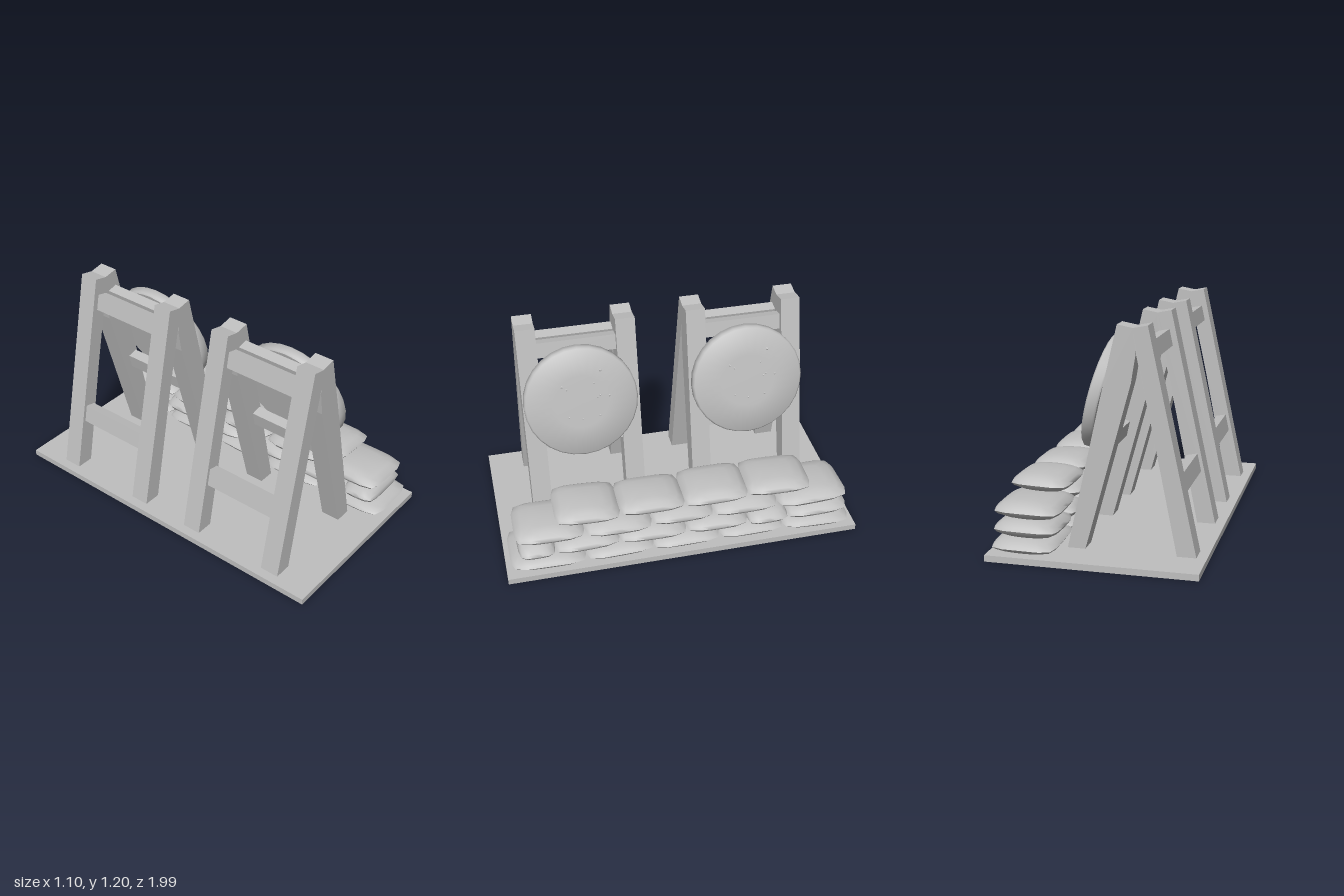
import * as THREE from 'three';
import { toCreasedNormals } from 'three/addons/utils/BufferGeometryUtils.js';

const grey = new THREE.MeshStandardMaterial({ color: 0xbfbfbf });
grey.name = 'plain grey';

const pts = (list) => list.map(([x, y]) => new THREE.Vector2(x, y));

function add(parent, geometry, name, x = 0, y = 0, z = 0) {
  const mesh = new THREE.Mesh(geometry, grey);
  mesh.name = name;
  mesh.position.set(x, y, z);
  parent.add(mesh);
  return mesh;
}

// Small repeatable variation in -1..1
let seed = 7;
const vary = () => {
  seed = (seed * 16807) % 2147483647;
  return (seed / 2147483647) * 2 - 1;
};

// Leg side outlines, extruded across z
const LEG_WIDTH = 0.108;
const legGeometry = (outline) =>
  new THREE.ExtrudeGeometry(new THREE.Shape(pts(outline)), { depth: LEG_WIDTH, bevelEnabled: false })
    .translate(0, 0, -LEG_WIDTH / 2);

const backLeg = legGeometry([[-0.5, 0.02], [-0.4, 0.02], [-0.27, 0.67], [-0.168, 1.14], [-0.17, 1.185], [-0.245, 1.2]]);
const frontLeg = legGeometry([[0.085, 0.02], [0.178, 0.02], [-0.01, 0.86], [-0.09, 1.2], [-0.172, 1.185], [-0.183, 1.05], [-0.16, 0.91]]);

// Thick straw disc with a slightly softened rim
const discGeometry = toCreasedNormals(new THREE.LatheGeometry(
  pts([[0, -0.031], [0.306, -0.031], [0.313, -0.022], [0.313, 0.022], [0.304, 0.031], [0.15, 0.035], [0, 0.036]]), 28), 0.9);

// Tiny torn straw marks: offsets along the face (up, sideways)
const marks = [[0.1, 0.1], [0.08, 0.075], [0.17, -0.115], [0.1, -0.075], [0.03, -0.105],
  [0.02, -0.155], [0.02, -0.09], [-0.08, 0.075], [-0.1, 0], [-0.09, -0.095]];

// Sandbag: a lathe pillow whose round outline is pushed towards a rectangle
function bagGeometry(width, height, length) {
  const g = new THREE.LatheGeometry(
    pts([[0, -0.5], [0.5, -0.48], [0.78, -0.38], [0.93, -0.2], [1, 0], [0.94, 0.17], [0.78, 0.38], [0.5, 0.48], [0, 0.5]]), 24);
  const p = g.attributes.position;
  for (let i = 0; i < p.count; i++) {
    const x = p.getX(i), z = p.getZ(i), r = Math.hypot(x, z);
    if (r < 1e-6) continue;
    const c = Math.abs(x / r), s = Math.abs(z / r), n = 7;
    const k = Math.pow(c ** n + s ** n, -1 / n);
    // Corners pinch in height
    const pinch = 1 - 0.25 * r * r * (k - 1) / 0.28;
    p.setXYZ(i, x * k, p.getY(i) * pinch, z * k);
  }
  g.scale(width / 2, height, length / 2);
  return toCreasedNormals(g, 1.1);
}

function makeStand(centerZ, discZ, name) {
  const stand = new THREE.Group();
  stand.name = name;
  // Two A-shaped ends
  for (const side of [-1, 1]) {
    const z = centerZ + side * 0.27;
    add(stand, backLeg, 'backLeg', 0, 0, z);
    add(stand, frontLeg, 'frontLeg', 0, 0, z);
  }
  // Rails: x, y, height, tilt following the legs
  const rails = [
    ['upperBackRail', -0.215, 1.05, 0.09, -0.21],
    ['upperFrontRail', -0.115, 1.055, 0.085, 0.225],
    ['lowerBackRail', -0.375, 0.372, 0.1, -0.21],
    ['lowerFrontRail', 0.02, 0.55, 0.085, 0.225],
  ];
  for (const [railName, x, y, height, tilt] of rails) {
    const rail = add(stand, new THREE.BoxGeometry(0.06, height, 0.48), railName, x, y, centerZ);
    rail.rotation.z = tilt;
  }
  // Tilted target
  const target = new THREE.Group();
  target.name = 'target';
  target.position.set(0.047, 0.8, discZ);
  target.rotation.z = -1.323;
  add(target, discGeometry, 'strawDisc');
  for (const [up, across] of marks) {
    const mark = add(target, new THREE.ConeGeometry(0.011, 0.008, 4), 'strawMark', -up, 0.036, across);
    mark.rotation.y = vary();
  }
  stand.add(target);
  return stand;
}

export function createModel() {
  const model = new THREE.Group();
  model.name = 'targetRange';
  seed = 7;

  add(model, new THREE.BoxGeometry(1.1, 0.034, 1.99), 'basePlate', 0, 0.019, -0.005);

  model.add(makeStand(0.465, 0.475, 'leftStand'));
  model.add(makeStand(-0.465, -0.46, 'rightStand'));

  // Sandbag wall: each row has its height and the z limits between bags
  const rows = [
    { y: 0.07, h: 0.085, x: 0.362, w: 0.335, ends: [0.96, 0.55, 0.17, -0.21, -0.58, -0.97] },
    { y: 0.15, h: 0.1, x: 0.36, w: 0.34, ends: [0.915, 0.72, 0.36, -0.02, -0.37, -0.6, -0.95] },
    { y: 0.243, h: 0.1, x: 0.357, w: 0.335, ends: [0.925, 0.55, 0.18, -0.17, -0.54, -0.94] },
    { y: 0.332, h: 0.095, x: 0.36, w: 0.305, ends: [0.7, 0.35, -0.01, -0.37, -0.73] },
  ];
  const wall = new THREE.Group();
  wall.name = 'sandbagWall';
  for (const { y, h, x, w, ends } of rows) {
    for (let i = 0; i < ends.length - 1; i++) {
      const length = ends[i] - ends[i + 1] + 0.008;
      const bag = add(wall, bagGeometry(w + vary() * 0.012, h, length), 'sandbag',
        x + vary() * 0.008, y, (ends[i] + ends[i + 1]) / 2);
      bag.rotation.set(vary() * 0.03, vary() * 0.03, vary() * 0.03);
    }
  }
  model.add(wall);
  return model;
}
